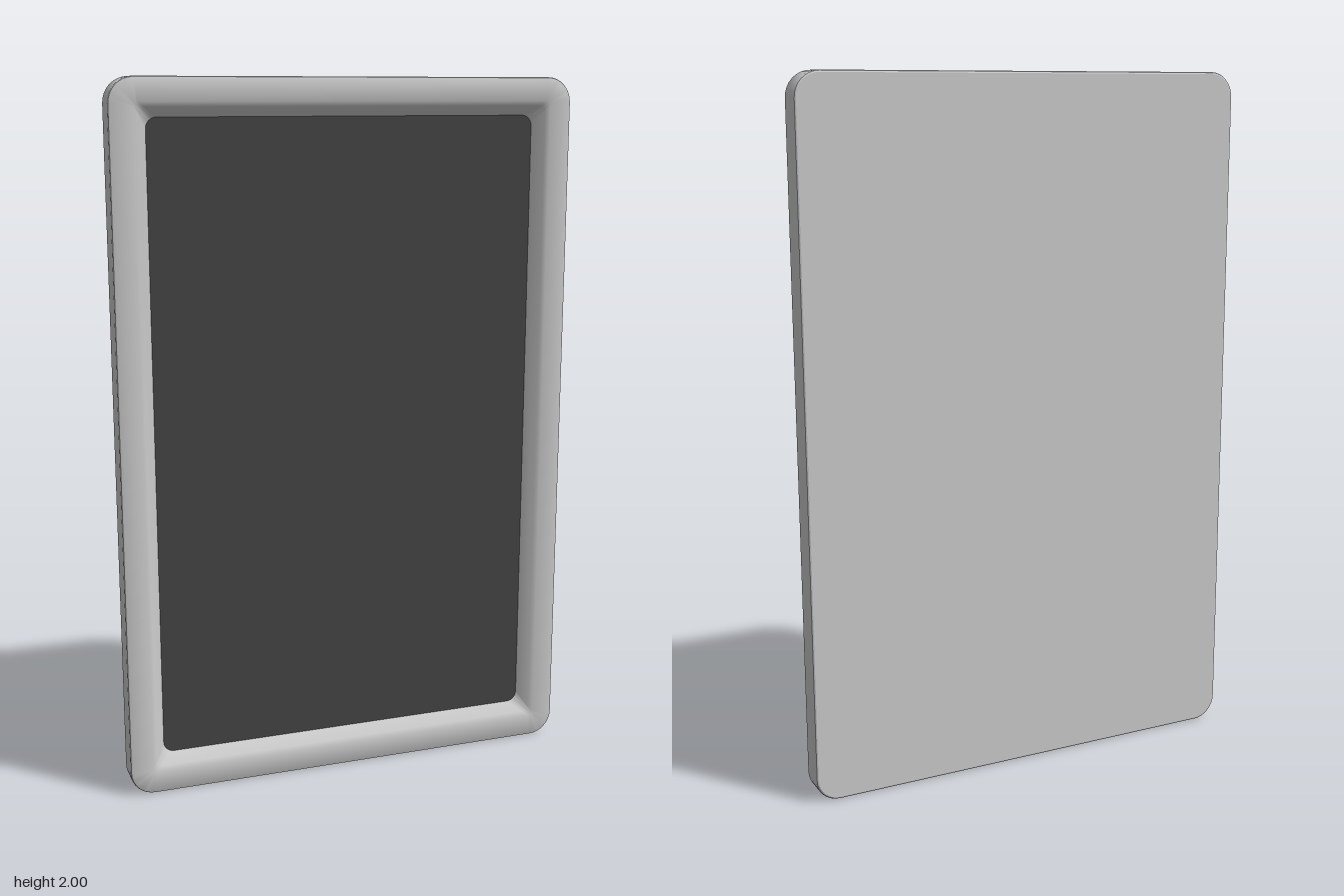
import * as THREE from 'three';
import { toCreasedNormals } from 'three/addons/utils/BufferGeometryUtils.js';

const HALF_W = 0.665, HALF_H = 1, HALF_D = 0.038, CORNER_STEPS = 8;

// Counter-clockwise rounded rectangle, inset from the outer edge
function outline(inset, radius) {
  const w = HALF_W - inset, h = HALF_H - inset, points = [];
  [[1, 1], [-1, 1], [-1, -1], [1, -1]].forEach(([sx, sy], corner) => {
    for (let i = 0; i <= CORNER_STEPS; i++) {
      const a = (corner + i / CORNER_STEPS) * Math.PI / 2;
      points.push(new THREE.Vector2(
        sx * (w - radius) + radius * Math.cos(a),
        sy * (h - radius) + radius * Math.sin(a)));
    }
  });
  return points;
}

// Skin through rounded rectangles given as [inset, radius, z]
function loft(sections) {
  const positions = [], index = [];
  const n = 4 * (CORNER_STEPS + 1);
  sections.forEach(([inset, radius, z], k) => {
    for (const p of outline(inset, radius)) positions.push(p.x, p.y, z);
    if (k === 0) return;
    for (let i = 0; i < n; i++) {
      const j = (i + 1) % n, a = (k - 1) * n, b = k * n;
      index.push(a + i, a + j, b + j, a + i, b + j, b + i);
    }
  });
  const geometry = new THREE.BufferGeometry();
  geometry.setAttribute('position', new THREE.Float32BufferAttribute(positions, 3));
  geometry.setIndex(index);
  return toCreasedNormals(geometry, 0.6);
}

export function createModel() {
  const group = new THREE.Group();
  const grey = new THREE.MeshStandardMaterial({ color: 0xcccccc });
  const dark = new THREE.MeshStandardMaterial({ color: 0x444444 });

  const add = (name, geometry, material, z = 0) => {
    const mesh = new THREE.Mesh(geometry, material);
    mesh.name = name;
    mesh.position.set(0, HALF_H, z);
    group.add(mesh);
    return mesh;
  };

  // Frame: back edge, outer wall, front border, then the sloping inner lip
  add('frame', loft([
    [0.006, 0.064, -HALF_D],
    [0.002, 0.068, -HALF_D + 0.002],
    [0, 0.07, -HALF_D + 0.006],
    [0, 0.07, HALF_D - 0.006],
    [0.002, 0.068, HALF_D - 0.002],
    [0.006, 0.064, HALF_D],
    [0.065, 0.012, HALF_D],
    [0.078, 0.018, 0.031],
    [0.105, 0.03, 0],
  ]), grey);

  // Flat panel closing the back
  const back = add('backPanel',
    new THREE.ShapeGeometry(new THREE.Shape(outline(0.006, 0.064))), grey, -HALF_D);
  back.rotation.y = Math.PI;

  // Recessed screen
  add('screen', new THREE.ShapeGeometry(new THREE.Shape(outline(0.105, 0.03))), dark);

  return group;
}
